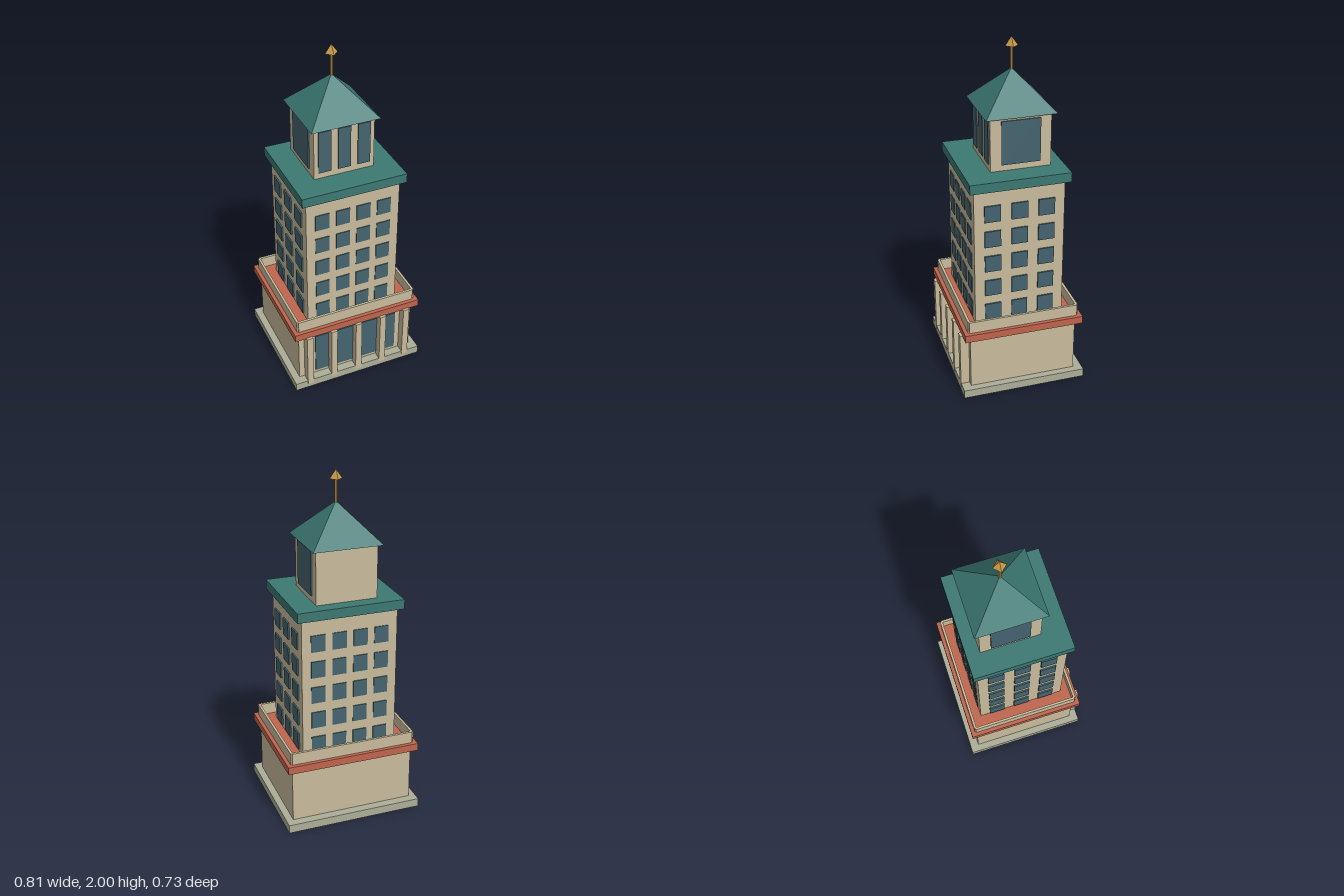
import * as THREE from 'three';

export function createModel() {
  const model = new THREE.Group();
  model.name = 'tower';

  const paint = (name, color, flatShading = false) => {
    const m = new THREE.MeshStandardMaterial({ color, flatShading });
    m.name = name;
    return m;
  };
  const stone = paint('stone', 0xc9bc9c);
  const glass = paint('glass', 0x44646f);
  const copper = paint('copper green', 0x3c7872, true);
  const brick = paint('brick red', 0xbf654d);
  const plinth = paint('plinth grey', 0xadae98);
  const gold = paint('gold', 0xc99a48, true);

  const add = (name, geometry, material, x, y, z) => {
    const mesh = new THREE.Mesh(geometry, material);
    mesh.name = name;
    mesh.position.set(x, y, z);
    model.add(mesh);
    return mesh;
  };
  // Box given by its width, depth, bottom and top
  const block = (name, material, w, d, y0, y1, x = 0, z = 0) =>
    add(name, new THREE.BoxGeometry(w, y1 - y0, d), material, x, (y0 + y1) / 2, z);

  // Base, ground floor and its front glazing
  block('base', plinth, 0.808, 0.73, 0, 0.05);
  block('groundFloor', stone, 0.726, 0.628, 0.05, 0.38);
  block('entranceWindow', glass, 0.52, 0.008, 0.07, 0.34, 0, 0.316);
  for (const x of [-0.31, -0.157, 0, 0.157, 0.31])
    block('column', stone, 0.038, 0.056, 0.025, 0.38, x, 0.338);

  // Red band and the parapet standing on it
  block('band', brick, 0.792, 0.7, 0.375, 0.42);
  for (const s of [-1, 1]) {
    block('parapetLong', stone, 0.73, 0.015, 0.42, 0.49, 0, s * 0.32);
    block('parapetSide', stone, 0.014, 0.64, 0.42, 0.49, s * 0.367, 0);
  }

  // Shaft with a grid of windows on all four sides
  block('shaft', stone, 0.56, 0.52, 0.42, 1.25);
  for (let row = 0; row < 5; row++) {
    const y = 1.108 - row * 0.155;
    for (const s of [-1, 1]) {
      for (const x of [-0.186, -0.062, 0.062, 0.186])
        block('window', glass, 0.083, 0.009, y - 0.049, y + 0.049, x, s * 0.2605);
      for (const z of [-0.155, 0, 0.155])
        block('sideWindow', glass, 0.009, 0.093, y - 0.049, y + 0.049, s * 0.2845, z);
    }
  }
  block('cornice', copper, 0.62, 0.575, 1.25, 1.306);

  // Belfry, set back a little, with windows on the front and sides
  const cz = -0.037;
  block('belfry', stone, 0.356, 0.346, 1.306, 1.638, 0, cz);
  for (const x of [-0.116, 0, 0.116])
    block('belfryWindow', glass, 0.074, 0.009, 1.342, 1.595, x, cz + 0.1745);
  for (const s of [-1, 1])
    block('belfrySideWindow', glass, 0.009, 0.222, 1.342, 1.595, s * 0.1815, cz);

  // Pyramid roof, pole and pointed finial
  const roof = add('roof', new THREE.ConeGeometry(0.202 * Math.SQRT2, 0.214, 4), copper, 0, 1.72, cz);
  roof.rotation.y = Math.PI / 4;
  add('pole', new THREE.CylinderGeometry(0.008, 0.008, 0.16, 6), gold, 0, 1.88, cz);
  add('finial', new THREE.ConeGeometry(0.037, 0.052, 4), gold, 0, 1.974, cz);

  return model;
}
